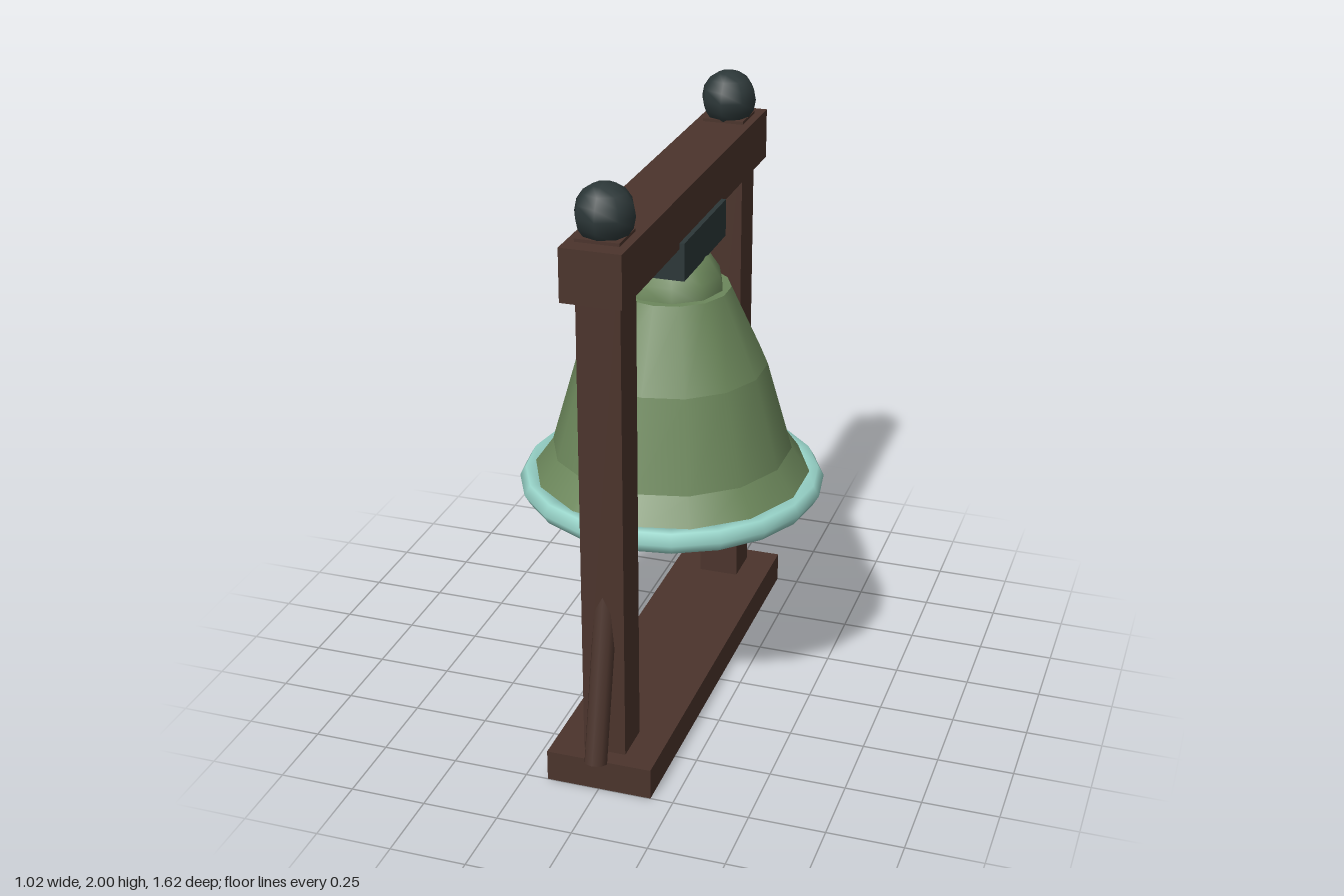
import * as THREE from 'three';

const material = (name, color) => {
  const m = new THREE.MeshStandardMaterial({ color });
  m.name = name;
  return m;
};

export function createModel() {
  const model = new THREE.Group();
  model.name = 'bellInFrame';
  const wood = material('dark wood', 0x4b342c);
  const green = material('bell green', 0x6c875b);
  const teal = material('pale teal', 0x98d4c9);
  const iron = material('dark iron', 0x2c3738);

  const add = (name, geometry, mat, x, y, z, parent = model) => {
    const mesh = new THREE.Mesh(geometry, mat);
    mesh.name = name;
    mesh.position.set(x, y, z);
    parent.add(mesh);
    return mesh;
  };
  // box given by width, depth and its bottom and top heights
  const addBox = (name, w, d, y0, y1, z, mat) =>
    add(name, new THREE.BoxGeometry(w, y1 - y0, d), mat, 0, (y0 + y1) / 2, z);

  // frame
  addBox('base', 0.35, 1.5, 0, 0.105, 0, wood);
  addBox('topBeam', 0.194, 1.5, 1.665, 1.835, 0, wood);
  addBox('yoke', 0.226, 0.44, 1.56, 1.685, 0, iron);

  // posts, finials and leaning braces at both ends
  for (const s of [1, -1]) {
    const end = s > 0 ? 'front' : 'back';
    addBox(end + 'Post', 0.14, 0.14, 0.1, 1.845, s * 0.62, wood);
    add(end + 'Finial', new THREE.SphereGeometry(0.095, 8, 8), iron, 0, 1.905, s * 0.617);

    const foot = new THREE.Vector3(0, 0.115, s * 0.773);
    const head = new THREE.Vector3(0, 0.73, s * 0.638);
    const dir = head.clone().sub(foot);
    const mid = foot.clone().add(head).multiplyScalar(0.5);
    const brace = add(end + 'Brace', new THREE.CylinderGeometry(0.038, 0.038, dir.length(), 8), wood, mid.x, mid.y, mid.z);
    brace.quaternion.setFromUnitVectors(new THREE.Vector3(0, 1, 0), dir.normalize());
  }

  // bell: stacked frustums with a closed top and mouth
  const bell = new THREE.Group();
  bell.name = 'bell';
  model.add(bell);
  const profile = [[0.485, 0.77], [0.4, 0.89], [0.315, 1.19], [0.193, 1.455]];
  for (let i = 0; i < profile.length - 1; i++) {
    const [r0, y0] = profile[i];
    const [r1, y1] = profile[i + 1];
    add('bellWall' + (i + 1), new THREE.CylinderGeometry(r1, r0, y1 - y0, 14), green, 0, (y0 + y1) / 2, 0, bell);
  }
  add('crown', new THREE.SphereGeometry(0.175, 10, 8), green, 0, 1.435, 0, bell);
  add('rim', new THREE.TorusGeometry(0.47, 0.04, 6, 20).rotateX(Math.PI / 2), teal, 0, 0.77, 0, bell);
  add('clapper', new THREE.SphereGeometry(0.08, 10, 8), iron, 0, 0.825, 0, bell);

  return model;
}
